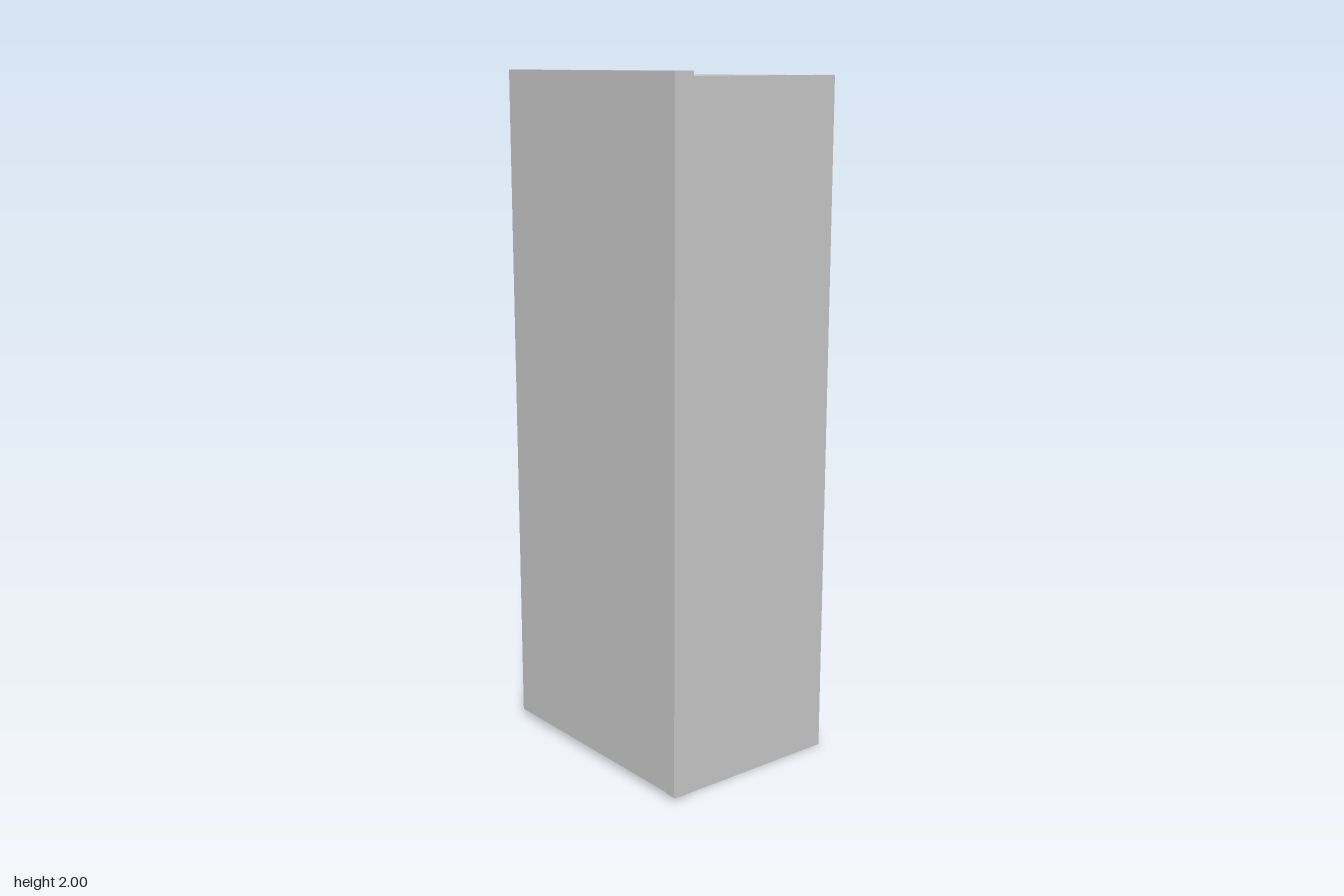
import * as THREE from 'three';

const material = new THREE.MeshStandardMaterial({ color: 0xcccccc, flatShading: true });

// Board given by its [min, max] extent along each axis
function board(name, [x0, x1], [y0, y1], [z0, z1]) {
  const mesh = new THREE.Mesh(new THREE.BoxGeometry(x1 - x0, y1 - y0, z1 - z0), material);
  mesh.position.set((x0 + x1) / 2, (y0 + y1) / 2, (z0 + z1) / 2);
  mesh.name = name;
  return mesh;
}

export function createModel() {
  const group = new THREE.Group();
  group.name = 'cornerShelf';

  // Two upright panels meeting at a corner
  group.add(board('sidePanel', [-0.291, -0.23], [0.02, 2], [-0.364, 0.397]));
  group.add(board('frontPanel', [-0.27, 0.291], [0, 1.987], [0.335, 0.375]));

  // Shelves let into both panels
  const shelves = new THREE.Group();
  shelves.name = 'shelves';
  for (const top of [0.737, 1.367, 1.986]) {
    shelves.add(board('shelf', [-0.249, 0.27], [top - 0.037, top], [-0.397, 0.355]));
  }
  group.add(shelves);

  return group;
}
